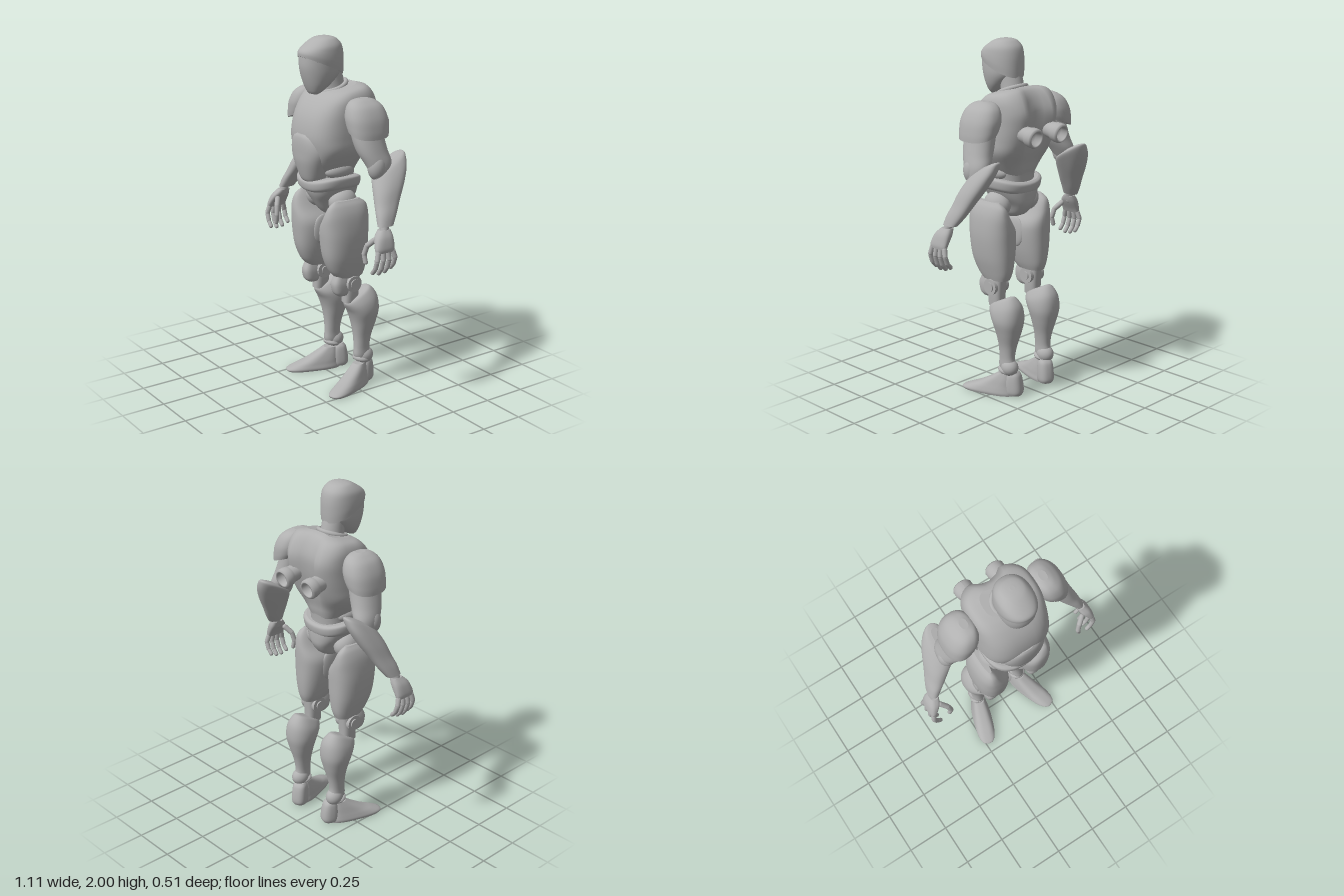
import * as THREE from 'three';

const SEG = 40;

// Smooth interpolation of one column of a section table
function spline(rows, col, t) {
  const n = rows.length - 1, i = Math.min(Math.floor(t), n - 1), f = t - i;
  const v = k => rows[Math.max(0, Math.min(n, k))][col] ?? 0;
  const m0 = (v(i + 1) - v(i - 1)) / 2, m1 = (v(i + 2) - v(i)) / 2;
  const f2 = f * f, f3 = f2 * f;
  return (2 * f3 - 3 * f2 + 1) * v(i) + (f3 - 2 * f2 + f) * m0 + (3 * f2 - 2 * f3) * v(i + 1) + (f3 - f2) * m1;
}

// Stacked rounded cross-sections, lowest first: [y, xMin, xMax, zMin, zMax, tiltX, tiltZ]
function loft(rows, power = 2.4, bend = null) {
  const steps = (rows.length - 1) * 5, pos = [], idx = [], p = new THREE.Vector3();
  const sq = c => Math.sign(c) * Math.pow(Math.abs(c), 2 / power);
  const ring = t => {
    const [y, x0, x1, z0, z1, tx, tz] = [0, 1, 2, 3, 4, 5, 6].map(c => spline(rows, c, t));
    for (let j = 0; j < SEG; j++) {
      const a = j / SEG * Math.PI * 2;
      const dx = sq(Math.cos(a)) * (x1 - x0) / 2, dz = sq(Math.sin(a)) * (z1 - z0) / 2;
      p.set((x0 + x1) / 2 + dx, y + tx * dx + tz * dz, (z0 + z1) / 2 + dz);
      if (bend) bend(p);
      pos.push(p.x, p.y, p.z);
    }
    return [(x0 + x1) / 2, y, (z0 + z1) / 2];
  };
  for (let i = 0; i <= steps; i++) ring(i / 5);
  for (let i = 0; i < steps; i++) for (let j = 0; j < SEG; j++) {
    const a = i * SEG + j, b = i * SEG + (j + 1) % SEG;
    idx.push(a, a + SEG, b, b, a + SEG, b + SEG);
  }
  // crisp end caps
  for (const top of [false, true]) {
    const s = pos.length / 3, c = ring(top ? rows.length - 1 : 0);
    pos.push(...c);
    for (let j = 0; j < SEG; j++) {
      const k = s + (j + 1) % SEG;
      idx.push(s + SEG, top ? k : s + j, top ? s + j : k);
    }
  }
  const g = new THREE.BufferGeometry();
  g.setAttribute('position', new THREE.Float32BufferAttribute(pos, 3));
  g.setIndex(idx);
  g.computeVertexNormals();
  return g;
}

// Sections symmetric about x = 0: [y, halfWidth, zMin, zMax, tiltZ]
const core = (rows, power, bend) => loft(rows.map(([y, w, a, b, t = 0]) => [y, -w, w, a, b, 0, t]), power, bend);

const ball = (x, y, z, rx, ry, rz) => new THREE.SphereGeometry(1, 28, 20).scale(rx, ry, rz).translate(x, y, z);

// Rounded segment between two points
function bone(a, b, r) {
  const A = new THREE.Vector3(...a), B = new THREE.Vector3(...b), d = B.clone().sub(A);
  const q = new THREE.Quaternion().setFromUnitVectors(new THREE.Vector3(0, 1, 0), d.clone().normalize());
  const m = A.add(B).multiplyScalar(0.5);
  return new THREE.CapsuleGeometry(r, d.length() - r * 0.6, 5, 12).applyQuaternion(q).translate(m.x, m.y, m.z);
}

function mirror(g) {
  const m = g.clone().scale(-1, 1, 1), id = m.index.array;
  for (let i = 0; i < id.length; i += 3) [id[i], id[i + 1]] = [id[i + 1], id[i]];
  m.computeVertexNormals();
  return m;
}

export function createModel() {
  const model = new THREE.Group();
  model.name = 'robot';
  const grey = new THREE.MeshStandardMaterial({ color: 0xb0b0b0 });
  grey.name = 'grey';
  const add = (name, g) => {
    const m = new THREE.Mesh(g, grey);
    m.name = name;
    model.add(m);
  };
  const pair = (name, g) => { add(name + 'Left', g); add(name + 'Right', mirror(g)); };

  // Head: helmet shell over a slightly inset face mask
  add('helmet', core([[1.845, 0.096, -0.02, 0.236, 0.43], [1.88, 0.1, -0.022, 0.236, 0.3], [1.92, 0.098, -0.02, 0.226, 0.12],
    [1.955, 0.09, -0.008, 0.2, 0], [1.985, 0.067, 0.02, 0.152], [1.996, 0.042, 0.045, 0.122], [2, 0.012, 0.07, 0.095]], 2.2));
  add('faceMask', core([[1.695, 0.036, 0.135, 0.175], [1.712, 0.054, 0.105, 0.187], [1.75, 0.076, 0.055, 0.204],
    [1.8, 0.091, 0.005, 0.22], [1.85, 0.095, -0.008, 0.229], [1.91, 0.095, -0.01, 0.228]], 2.2));
  add('neck', core([[1.66, 0.07, -0.05, 0.09], [1.74, 0.062, -0.035, 0.1], [1.84, 0.062, -0.01, 0.12]], 2));
  add('collar', new THREE.TorusGeometry(0.076, 0.013, 12, 40).rotateX(Math.PI / 2 + 0.35).translate(0, 1.725, 0.03));

  // Torso: chest shell with shoulder blades and a hollow between them
  add('chest', core([[1.265, 0.11, -0.08, 0.18], [1.33, 0.157, -0.1, 0.212], [1.4, 0.196, -0.135, 0.228], [1.47, 0.201, -0.165, 0.237],
    [1.55, 0.201, -0.187, 0.224], [1.62, 0.201, -0.192, 0.195, -0.02], [1.68, 0.196, -0.165, 0.152, -0.06],
    [1.718, 0.172, -0.125, 0.112, -0.14], [1.732, 0.12, -0.08, 0.085, -0.22]], 2.9, p => {
    if (p.z < 0) p.z *= 1 - 0.27 * Math.exp(-((p.x / 0.072) ** 4)) * Math.min(1, Math.max(0, (p.y - 1.3) / 0.15));
  }));
  add('abdomenPlate', core([[1.21, 0.06, 0.1, 0.205], [1.235, 0.08, 0.06, 0.224], [1.32, 0.117, 0.05, 0.248], [1.38, 0.136, 0.05, 0.254],
    [1.43, 0.13, 0.05, 0.255], [1.465, 0.108, 0.05, 0.251], [1.483, 0.07, 0.05, 0.243]], 2.5));
  add('waist', core([[1.14, 0.12, -0.08, 0.15], [1.22, 0.115, -0.078, 0.155], [1.32, 0.13, -0.088, 0.17]], 2.4));
  pair('oblique', ball(0.102, 1.275, 0.06, 0.045, 0.045, 0.088));

  // Back thrusters: flared hollow cups
  const cup = [[0.045, -0.04], [0.047, 0.02], [0.052, 0.028], [0.055, 0.045], [0.055, 0.07], [0.047, 0.08], [0.039, 0.078], [0.034, 0.04], [0, 0.036]];
  pair('thruster', new THREE.LatheGeometry(cup.map(c => new THREE.Vector2(...c)), 32)
    .rotateX(-Math.PI / 2 - 0.17).translate(0.1, 1.512, -0.168));

  // Pelvis
  const dip = p => { p.y += 1.1 * p.x * p.x - 0.012; };
  add('belt', core([[1.168, 0.148, -0.085, 0.192], [1.182, 0.163, -0.1, 0.212], [1.22, 0.167, -0.105, 0.217], [1.235, 0.152, -0.09, 0.2]], 2.6, dip));
  add('pelvis', core([[1.015, 0.035, -0.01, 0.085], [1.04, 0.058, -0.06, 0.115], [1.09, 0.082, -0.094, 0.15], [1.14, 0.12, -0.1, 0.178], [1.2, 0.152, -0.097, 0.195]], 2.5));
  pair('hipJoint', ball(0.112, 1.095, 0.04, 0.065, 0.075, 0.085));

  // Legs
  pair('thigh', loft([[0.675, 0.09, 0.19, -0.065, 0.105], [0.72, 0.072, 0.204, -0.08, 0.145], [0.8, 0.052, 0.224, -0.088, 0.177],
    [0.9, 0.04, 0.235, -0.09, 0.19], [0.97, 0.048, 0.234, -0.09, 0.193, 0.1], [1.035, 0.09, 0.224, -0.085, 0.188, 0.2],
    [1.09, 0.125, 0.205, -0.07, 0.17, 0.15], [1.122, 0.152, 0.184, -0.03, 0.135]], 2.5));
  pair('innerThighPlate', ball(0.05, 0.9, 0.06, 0.018, 0.088, 0.065));
  pair('kneeLink', loft([[0.52, 0.112, 0.18, -0.03, 0.06], [0.6, 0.105, 0.185, -0.035, 0.06], [0.72, 0.105, 0.185, -0.045, 0.07]], 3));
  pair('kneeAxle', new THREE.CylinderGeometry(0.046, 0.046, 0.108, 32).rotateZ(Math.PI / 2).translate(0.145, 0.635, 0.018));
  pair('kneeHub', new THREE.CylinderGeometry(0.024, 0.028, 0.122, 24).rotateZ(Math.PI / 2).translate(0.145, 0.635, 0.018));
  pair('kneeCap', loft([[0.568, 0.12, 0.17, 0.04, 0.1], [0.59, 0.108, 0.182, 0.03, 0.122], [0.64, 0.106, 0.184, 0.03, 0.132], [0.685, 0.115, 0.175, 0.04, 0.115]], 3));
  pair('calf', loft([[0.14, 0.118, 0.176, -0.115, -0.035], [0.18, 0.112, 0.182, -0.123, -0.018], [0.23, 0.111, 0.182, -0.116, -0.02],
    [0.3, 0.1, 0.19, -0.127, -0.018], [0.38, 0.078, 0.212, -0.15, -0.006], [0.45, 0.062, 0.23, -0.165, 0.014, 0, -0.08],
    [0.51, 0.066, 0.225, -0.155, 0.036, 0, -0.3], [0.55, 0.092, 0.203, -0.115, 0.047, 0, -0.5], [0.56, 0.112, 0.183, -0.085, 0.03, 0, -0.5]], 2.3));
  pair('ankleRing', new THREE.TorusGeometry(0.036, 0.013, 12, 32).rotateX(Math.PI / 2 - 0.3).translate(0.147, 0.152, -0.063));
  pair('ankleBone', ball(0.147, 0.17, -0.088, 0.046, 0.05, 0.053));

  // Feet, turned outward
  const place = g => g.rotateY(0.33).translate(0.145, 0, -0.06);
  pair('foot', place(loft([[0, -0.054, 0.056, -0.05, 0.268], [0.014, -0.058, 0.06, -0.05, 0.272], [0.036, -0.054, 0.056, -0.045, 0.225],
    [0.06, -0.05, 0.05, -0.04, 0.165], [0.095, -0.042, 0.042, -0.036, 0.1], [0.13, -0.032, 0.032, -0.03, 0.045]], 2.7)));
  pair('heel', place(loft([[0.008, -0.038, 0.038, -0.092, 0], [0.03, -0.045, 0.045, -0.102, 0], [0.08, -0.045, 0.045, -0.098, 0],
    [0.125, -0.04, 0.04, -0.087, -0.01], [0.145, -0.028, 0.028, -0.07, -0.03]], 2.5)));

  // Arms
  pair('shoulderPad', loft([[1.515, 0.21, 0.372, -0.112, 0.116, -0.35], [1.55, 0.193, 0.37, -0.117, 0.12, -0.25], [1.6, 0.182, 0.358, -0.116, 0.12, -0.1],
    [1.65, 0.182, 0.328, -0.098, 0.104], [1.68, 0.195, 0.29, -0.065, 0.075], [1.692, 0.22, 0.262, -0.025, 0.035]], 2.4));
  pair('upperArm', loft([[1.27, 0.33, 0.39, -0.08, 0.01], [1.35, 0.28, 0.392, -0.11, 0.045], [1.42, 0.237, 0.376, -0.098, 0.077],
    [1.5, 0.206, 0.355, -0.088, 0.09], [1.6, 0.185, 0.33, -0.08, 0.085]], 2.2));
  pair('elbowCap', ball(0.35, 1.335, -0.012, 0.048, 0.072, 0.052));
  pair('forearm', loft([[1.05, 0.453, 0.508, -0.02, 0.072], [1.1, 0.42, 0.495, -0.055, 0.063], [1.16, 0.383, 0.474, -0.098, 0.05, 0, -0.18],
    [1.23, 0.342, 0.453, -0.148, 0.036, 0, -0.28], [1.29, 0.31, 0.428, -0.184, 0.022, 0, -0.4], [1.335, 0.289, 0.402, -0.195, 0.004, 0, -0.48],
    [1.358, 0.292, 0.382, -0.19, -0.025, 0, -0.52], [1.37, 0.31, 0.36, -0.165, -0.06, 0, -0.5]], 2.4));

  // Hands
  pair('wrist', bone([0.475, 1.08, 0.03], [0.495, 1.0, 0.045], 0.024));
  pair('palm', loft([[0.925, 0.515, 0.549, 0.008, 0.122], [0.95, 0.502, 0.55, 0.004, 0.124], [1.0, 0.472, 0.536, 0.002, 0.107], [1.035, 0.462, 0.512, 0.008, 0.075]], 2.8));
  const chain = (name, pts, r) => {
    for (let i = 0; i < pts.length - 1; i++) pair(name + (i + 1), bone(pts[i], pts[i + 1], r - i * 0.0012));
  };
  for (let f = 0; f < 4; f++) {
    const z = 0.018 + f * 0.031, s = (f - 1.5) * 0.008, l = [0.85, 0.97, 1, 0.93][f];
    chain('finger' + (f + 1) + 'Joint', [[0.533, 0.93, z], [0.54, 0.93 - 0.05 * l, z + s], [0.525, 0.93 - 0.098 * l, z + s], [0.5, 0.93 - 0.13 * l, z + s]], 0.0145);
  }
  chain('thumbJoint', [[0.478, 0.985, 0.09], [0.442, 0.945, 0.118], [0.43, 0.895, 0.128], [0.44, 0.85, 0.124]], 0.0155);
  return model;
}
